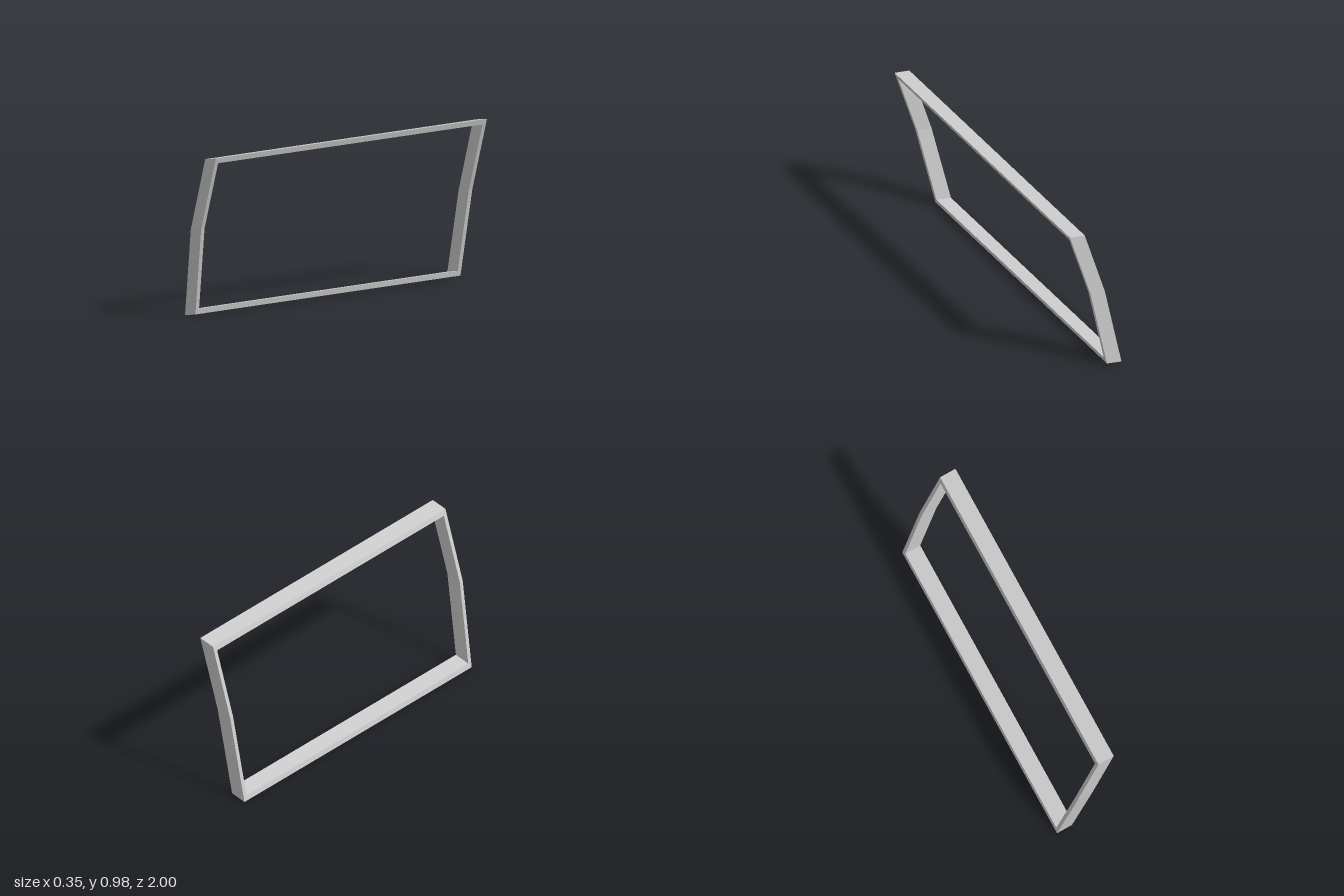
import * as THREE from 'three';

// Leaning window frame: a four-sided section swept round six corner stations
export function createModel() {
  const group = new THREE.Group();
  const bar = 0.032;  // rail thickness
  const post = 0.025; // post thickness

  // Rows of the bent profile: right and left edge [x, y], front z, inward [x, y] step
  const rows = [
    { r: [-0.174, 0.001], l: [-0.076, 0.02], z: 0.955, step: [0.21 * bar, bar], dz: 0.003 },
    { r: [-0.062, 0.53], l: [0.036, 0.548], z: 1, step: [0, 0], dz: 0 },
    { r: [0.074, 0.967], l: [0.174, 0.985], z: 1, step: [-0.315 * bar, -bar], dz: 0 },
  ];

  // Section at one corner: outer right, outer left, inner left, inner right
  const section = (row, front) => {
    const zo = front ? row.z : -1;
    const zi = front ? row.z - post + row.dz : -1 + post;
    const inner = (p) => [p[0] + row.step[0], p[1] + row.step[1], zi];
    return [[...row.r, zo], [...row.l, zo], inner(row.l), inner(row.r)];
  };
  const stations = [
    ...rows.map((row) => section(row, true)),
    ...[...rows].reverse().map((row) => section(row, false)),
  ];

  // Skin the closed loop
  const positions = stations.flat(2);
  const index = [];
  const n = stations.length;
  for (let s = 0; s < n; s++) {
    for (let k = 0; k < 4; k++) {
      const a = s * 4 + k, b = s * 4 + ((k + 1) % 4);
      const next = ((s + 1) % n) * 4;
      const c = next + ((k + 1) % 4), d = next + k;
      index.push(a, b, c, a, c, d);
    }
  }
  const indexed = new THREE.BufferGeometry();
  indexed.setAttribute('position', new THREE.Float32BufferAttribute(positions, 3));
  indexed.setIndex(index);
  const geometry = indexed.toNonIndexed();
  geometry.computeVertexNormals();

  const frame = new THREE.Mesh(
    geometry,
    new THREE.MeshStandardMaterial({ color: 0xcccccc, flatShading: true })
  );
  frame.name = 'windowFrame';
  group.add(frame);
  return group;
}
